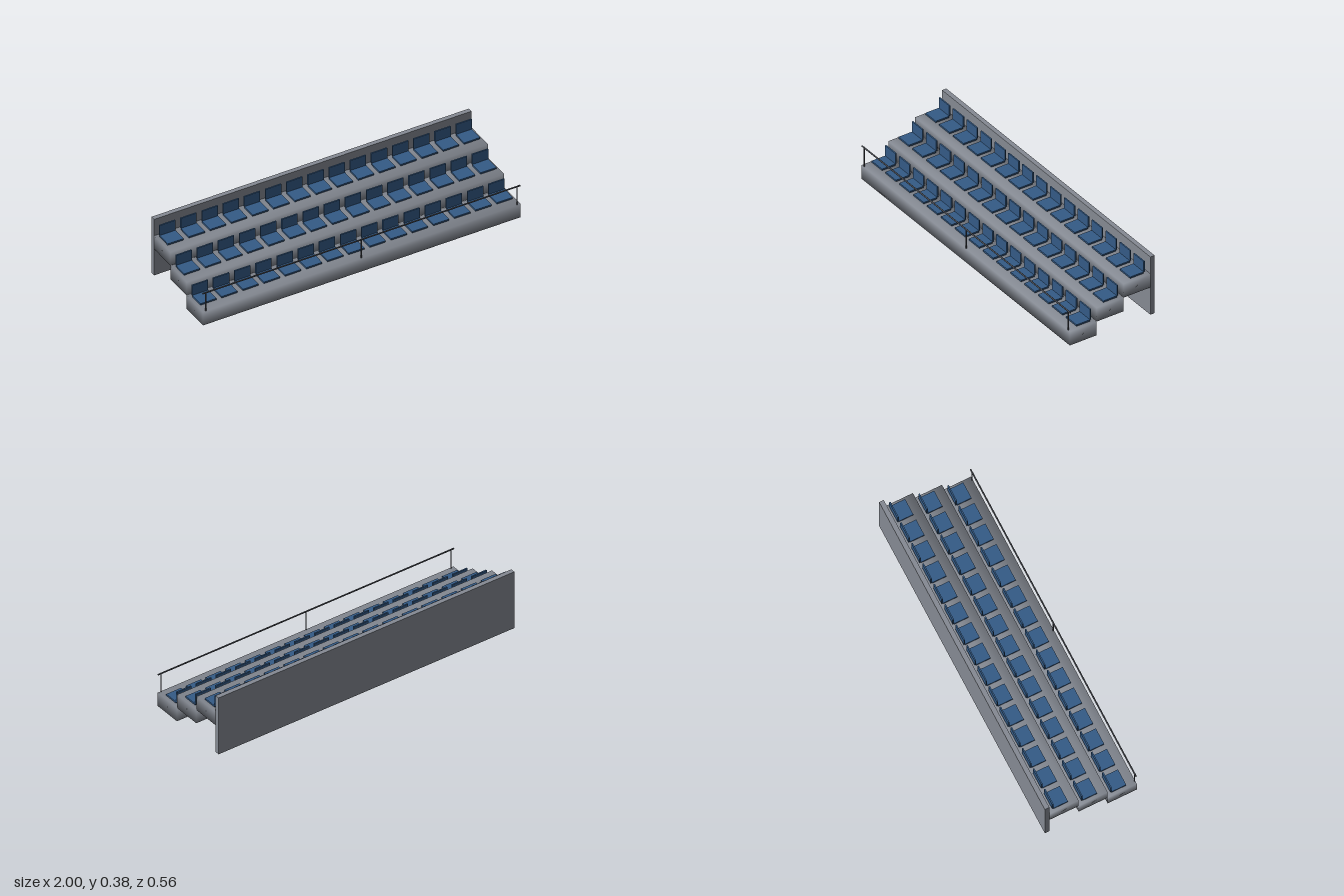
import * as THREE from 'three';
import { mergeVertices } from 'three/addons/utils/BufferGeometryUtils.js';

const material = (name, color) => {
  const m = new THREE.MeshStandardMaterial({ color });
  m.name = name;
  return m;
};

// Box given by its lower and upper corners in y and z, centred on x
function box(width, y0, y1, z0, z1) {
  return new THREE.BoxGeometry(width, y1 - y0, z1 - z0)
    .translate(0, (y0 + y1) / 2, (z0 + z1) / 2);
}

// Weld the corners so the shading runs softly over the edges
function soften(geometry) {
  geometry.deleteAttribute('normal');
  geometry.deleteAttribute('uv');
  const welded = mergeVertices(geometry);
  welded.computeVertexNormals();
  return welded;
}

export function createModel() {
  const concrete = material('concrete', 0x858a93);
  const plastic = material('seat blue', 0x345b87);
  const metal = material('rail metal', 0x4c4f56);

  const model = new THREE.Group();
  model.name = 'grandstand';
  const add = (name, geometry, mat, parent = model) => {
    const mesh = new THREE.Mesh(geometry, mat);
    mesh.name = name;
    parent.add(mesh);
    return mesh;
  };

  const rows = 3, seats = 15, rise = 0.0895, run = 0.178;
  const stepGeo = soften(box(2, 0, 0.089, 0.103, 0.281));
  const cushionGeo = box(0.1, 0.095, 0.105, 0.136, 0.225);
  const backGeo = box(0.1, 0.105, 0.172, 0.128, 0.136);

  // Stepped rows, each with its line of seats
  for (let r = 0; r < rows; r++) {
    const row = new THREE.Group();
    row.name = 'row';
    row.position.set(0, r * rise, -r * run);
    add('step', stepGeo, concrete, row);
    for (let s = 0; s < seats; s++) {
      const seat = new THREE.Group();
      seat.name = 'seat';
      seat.position.x = (s - (seats - 1) / 2) * (2 / seats);
      add('seatCushion', cushionGeo, plastic, seat);
      add('seatBack', backGeo, plastic, seat);
      row.add(seat);
    }
    model.add(row);
  }

  // Rear wall
  add('backWall', box(2, 0, 0.378, -0.281, -0.253), concrete);

  // Front guard rail on three posts
  const rail = add('handRail', new THREE.CylinderGeometry(0.0045, 0.0045, 2, 10), metal);
  rail.rotation.z = Math.PI / 2;
  rail.position.set(0, 0.212, 0.277);
  const postGeo = new THREE.CylinderGeometry(0.0035, 0.0035, 0.142, 10);
  for (const x of [-0.98, 0, 0.98]) {
    add('railPost', postGeo, metal).position.set(x, 0.141, 0.277);
  }
  return model;
}
